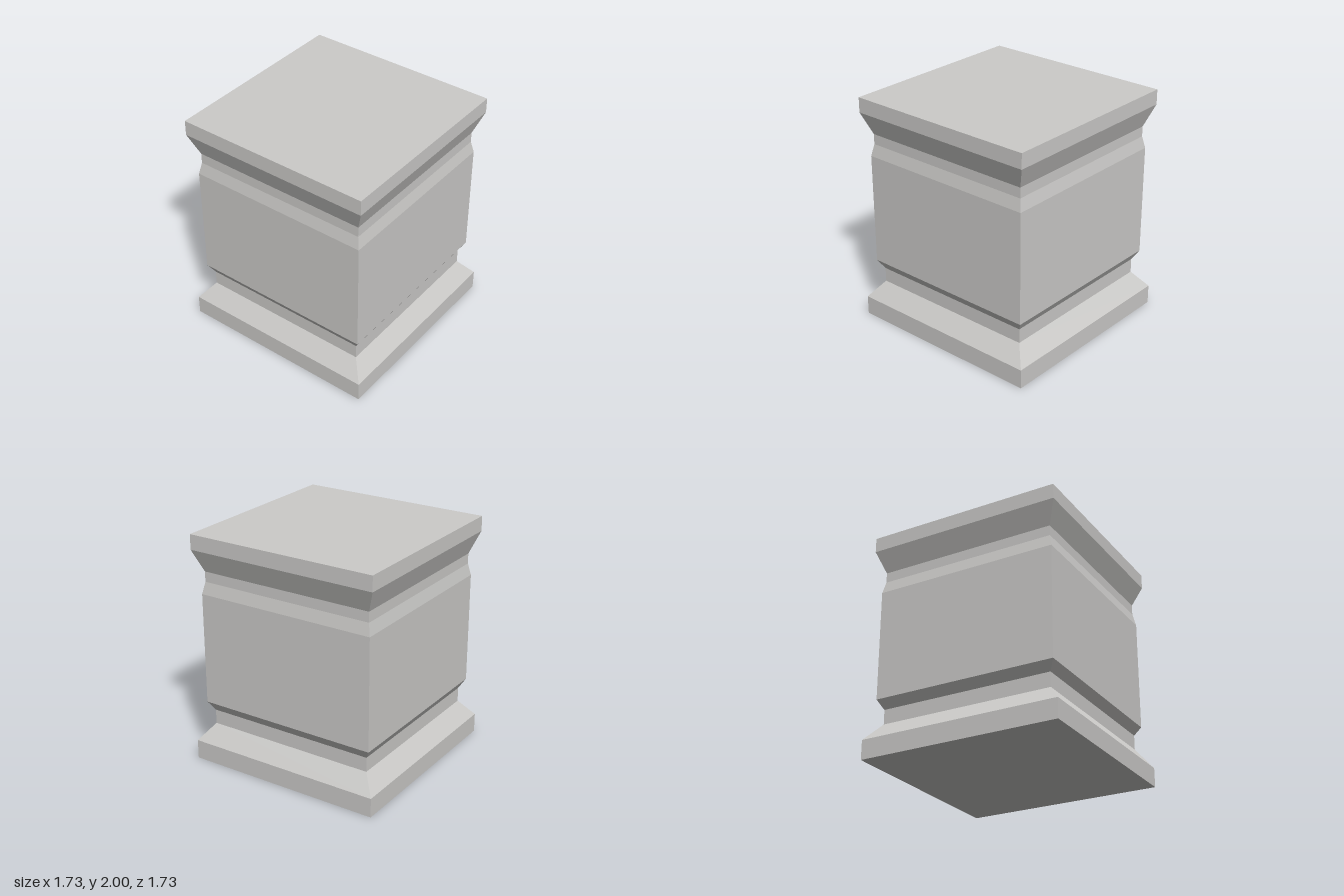
import * as THREE from 'three';

export function createModel() {
  const model = new THREE.Group();
  model.name = 'pedestal';
  const stone = new THREE.MeshStandardMaterial({ color: 0xcccbc9 });
  stone.name = 'pale grey stone';

  // Square section swept up a profile of [half width, height] points, with flat faces
  function addTier(name, profile) {
    const points = profile.map(([half, y]) => new THREE.Vector2(half * Math.SQRT2, y));
    const geometry = new THREE.LatheGeometry(points, 4, Math.PI / 4).toNonIndexed();
    geometry.computeVertexNormals();
    const mesh = new THREE.Mesh(geometry, stone);
    mesh.name = name;
    model.add(mesh);
  }

  // Tiers share their end points, so the surface is closed with no inner faces
  addTier('plinth', [[0, 0], [0.867, 0], [0.867, 0.167]]);
  addTier('baseMoulding', [[0.867, 0.167], [0.75, 0.315], [0.75, 0.44], [0.798, 0.522]]);
  addTier('shaft', [[0.798, 0.522], [0.798, 1.488]]);
  addTier('neck', [[0.798, 1.488], [0.776, 1.592], [0.776, 1.68]]);
  addTier('cornice', [[0.776, 1.68], [0.85, 1.87]]);
  addTier('topSlab', [[0.85, 1.87], [0.85, 2], [0, 2]]);

  return model;
}
